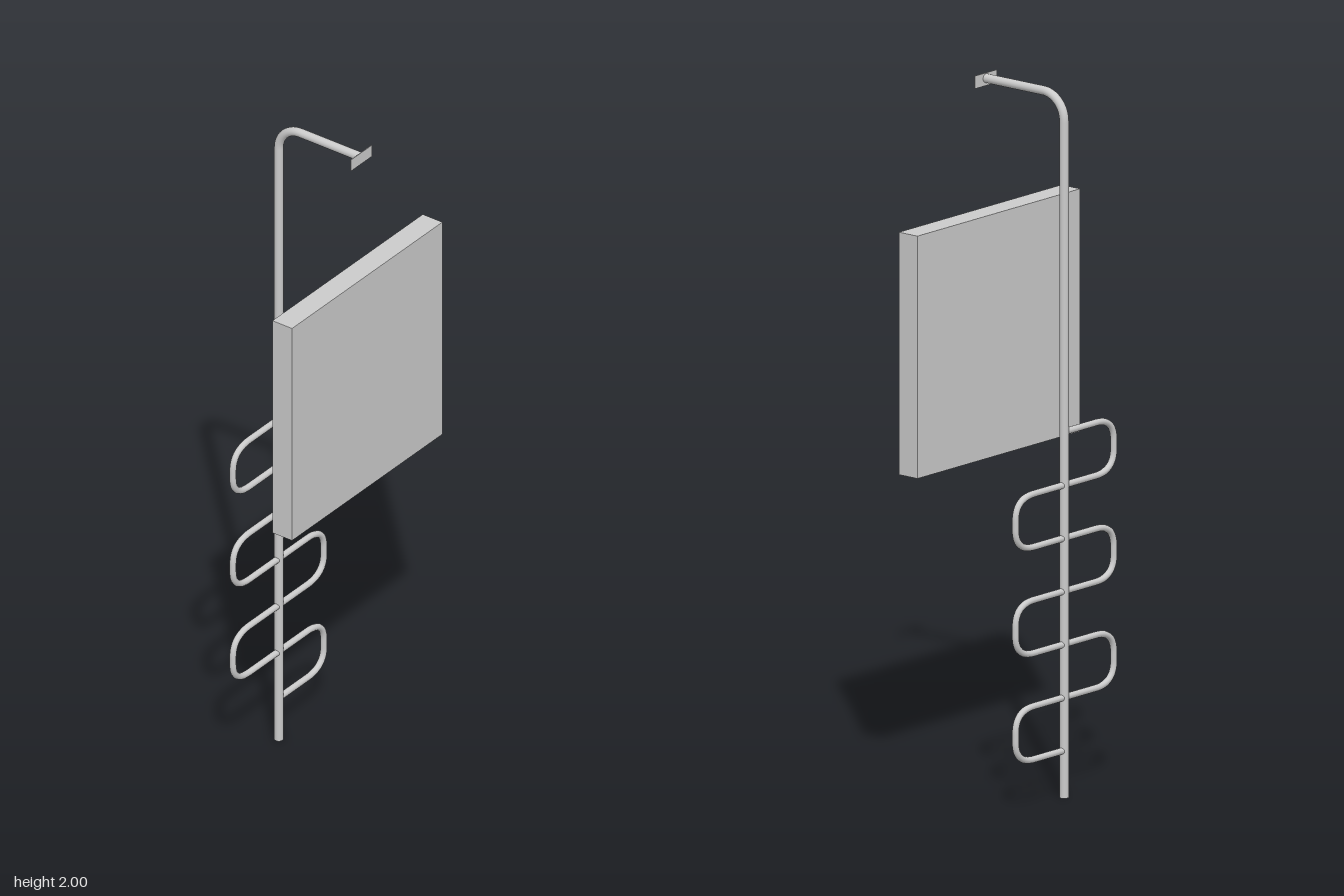
import * as THREE from 'three';

const grey = new THREE.MeshStandardMaterial({ color: 0xcccccc, side: THREE.DoubleSide });
const v = (x, y, z) => new THREE.Vector3(x, y, z);
const POLE_X = -0.147, POLE_Z = -0.002;

function add(group, name, geometry, x = 0, y = 0, z = 0) {
  const mesh = new THREE.Mesh(geometry, grey);
  mesh.name = name;
  mesh.position.set(x, y, z);
  group.add(mesh);
  return mesh;
}

// Upright pole bending over into a horizontal arm
function poleGeometry() {
  const bend = 0.075, top = 1.985;
  const path = new THREE.CurvePath();
  path.add(new THREE.LineCurve3(v(POLE_X, 0, POLE_Z), v(POLE_X, top - bend, POLE_Z)));
  const k = bend * 0.4477;
  path.add(new THREE.CubicBezierCurve3(
    v(POLE_X, top - bend, POLE_Z), v(POLE_X, top - k, POLE_Z),
    v(POLE_X + k, top, POLE_Z), v(POLE_X + bend, top, POLE_Z)));
  path.add(new THREE.LineCurve3(v(POLE_X + bend, top, POLE_Z), v(0.135, top, POLE_Z)));
  return new THREE.TubeGeometry(path, 240, 0.0128, 16);
}

// Serpentine rod swinging from side to side across the pole
function serpentineGeometry() {
  const y0 = 0.133, pitch = 0.15, reach = 0.207, straight = 0.13, turns = 6;
  const path = new THREE.CurvePath();
  let last = v(POLE_X, y0, 0);
  const lineTo = (p) => { path.add(new THREE.LineCurve3(last, p)); last = p; };
  const roundTo = (c, p) => { path.add(new THREE.QuadraticBezierCurve3(last, c, p)); last = p; };
  for (let i = 0; i < turns; i++) {
    const s = i % 2 ? 1 : -1;
    const low = y0 + i * pitch, high = low + pitch, mid = low + pitch / 2;
    lineTo(v(POLE_X, low, s * straight));
    roundTo(v(POLE_X, low, s * reach), v(POLE_X, mid - 0.012, s * reach));
    lineTo(v(POLE_X, mid + 0.012, s * reach));
    roundTo(v(POLE_X, high, s * reach), v(POLE_X, high, s * straight));
  }
  lineTo(v(POLE_X, y0 + turns * pitch, 0));
  return new THREE.TubeGeometry(path, 420, 0.0095, 10);
}

export function createModel() {
  const model = new THREE.Group();
  model.name = 'polePanelStand';

  add(model, 'pole', poleGeometry());
  const cap = add(model, 'poleEndCap', new THREE.CircleGeometry(0.0128, 16), POLE_X, 0, POLE_Z);
  cap.rotation.x = Math.PI / 2;

  add(model, 'serpentineRod', serpentineGeometry());

  // Thin mounting plate at the end of the arm
  add(model, 'mountingPlate', new THREE.BoxGeometry(0.002, 0.036, 0.094), 0.135, 1.982, POLE_Z);

  // Upright square panel
  add(model, 'panel', new THREE.BoxGeometry(0.067, 0.685, 0.685), 0.1235, 1.27, 0);
  return model;
}
